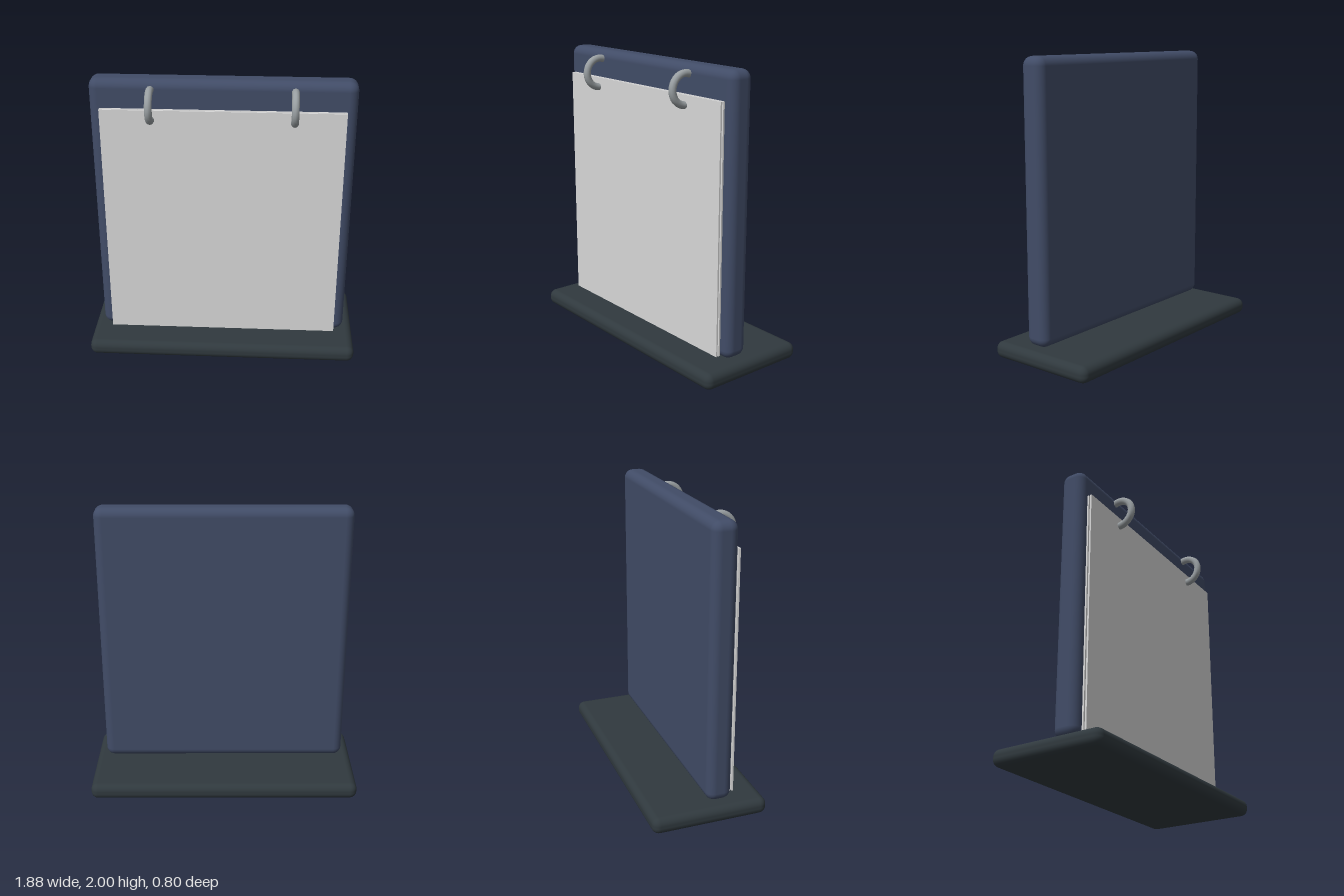
import * as THREE from 'three';
import { RoundedBoxGeometry } from 'three/addons/geometries/RoundedBoxGeometry.js';

const material = (name, color) => {
  const m = new THREE.MeshStandardMaterial({ color });
  m.name = name;
  return m;
};

export function createModel() {
  const group = new THREE.Group();
  group.name = 'flipCalendarStand';

  const baseMat = material('darkSlate', 0x30393e);
  const boardMat = material('navy', 0x414c67);
  const paperMat = material('paper', 0xd8d8d8);
  const metalMat = material('metal', 0x9aa0a3);

  const add = (name, geometry, mat, x, y, z) => {
    const mesh = new THREE.Mesh(geometry, mat);
    mesh.name = name;
    mesh.position.set(x, y, z);
    group.add(mesh);
    return mesh;
  };

  // Foot slab and upright board, both with rounded edges
  add('base', new RoundedBoxGeometry(1.88, 0.115, 0.8, 3, 0.05), baseMat, 0, 0.0575, 0);
  add('board', new RoundedBoxGeometry(1.74, 1.88, 0.174, 3, 0.06), boardMat, 0, 1.06, 0.087);

  // Two hanging sheets in front of the board
  [0.181, 0.202].forEach((z, i) =>
    add(`sheet${i + 1}`, new THREE.BoxGeometry(1.6, 1.67, 0.012), paperMat, 0, 0.975, z));

  // Binding rings, passing through the sheets and into the board
  for (const [name, x] of [['leftRing', 0.465], ['rightRing', -0.465]]) {
    const ring = add(name, new THREE.TorusGeometry(0.1, 0.025, 10, 32), metalMat, x, 1.845, 0.205);
    ring.rotation.y = Math.PI / 2;
  }

  return group;
}
